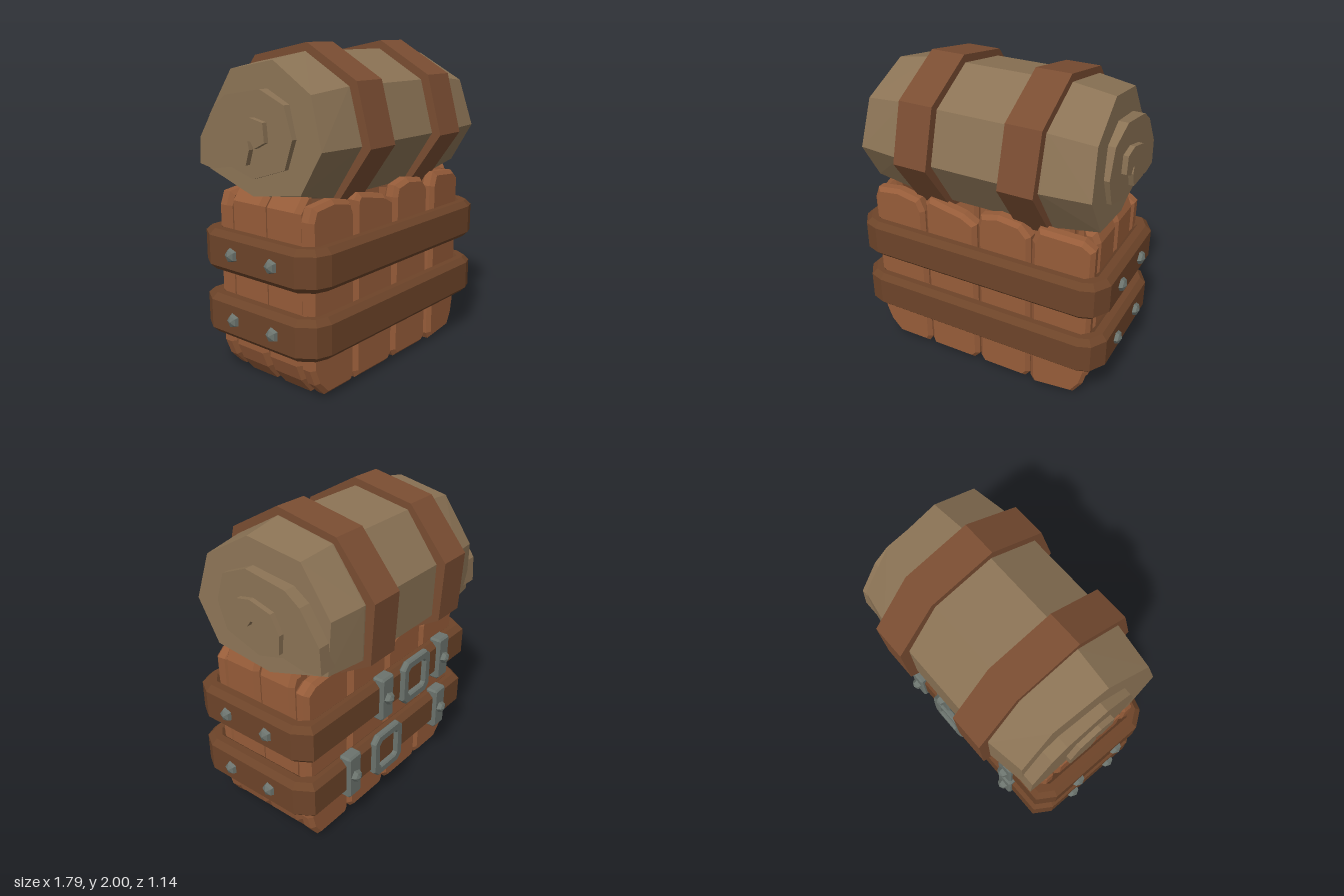
import * as THREE from 'three';
import { ConvexGeometry } from 'three/addons/geometries/ConvexGeometry.js';

const material = (name, color) => Object.assign(new THREE.MeshStandardMaterial({ color }), { name });

export function createModel() {
  const model = new THREE.Group();
  model.name = 'backpackWithBedroll';
  const plankWood = material('plankWood', 0x965c39);
  const beltLeather = material('beltLeather', 0x6d4429);
  const strapLeather = material('strapLeather', 0x7a4d32);
  const blanket = material('blanket', 0x8b7355);
  const metal = material('metal', 0x6b736d);

  const add = (name, geometry, mat, parent = model) => {
    const mesh = new THREE.Mesh(geometry, mat);
    mesh.name = name;
    parent.add(mesh);
    return mesh;
  };

  // Chamfered slab from an outline, running from z = 0 to z = depth
  const slab = (points, depth, bevel = 0, hole = null) => {
    const shape = new THREE.Shape(points.map(([x, y]) => new THREE.Vector2(x, y)));
    if (hole) shape.holes.push(new THREE.Path(hole.map(([x, y]) => new THREE.Vector2(x, y))));
    const geometry = new THREE.ExtrudeGeometry(shape, {
      depth: depth - 2 * bevel, bevelEnabled: bevel > 0, bevelSize: bevel,
      bevelThickness: bevel, bevelOffset: -bevel, bevelSegments: 1,
    });
    return geometry.translate(0, 0, bevel);
  };

  // Rectangle with cut corners
  const cutRect = (x0, x1, y0, y1, c) => [
    [x0 + c, y0], [x1 - c, y0], [x1, y0 + c], [x1, y1 - c],
    [x1 - c, y1], [x0 + c, y1], [x0, y1 - c], [x0, y0 + c],
  ];

  // Front and back planks
  const planks = [
    [[-0.76, 0.2], [-0.72, 0.1], [-0.64, 0.015], [-0.41, 0.015], [-0.385, 0.06],
      [-0.385, 1.05], [-0.42, 1.13], [-0.57, 1.16], [-0.73, 1.14], [-0.76, 1.06]],
    [[-0.38, 0.06], [-0.36, 0.015], [-0.05, 0.015], [-0.01, 0.06],
      [-0.01, 1.06], [-0.1, 1.11], [-0.34, 1.16], [-0.375, 1.12]],
    [[0, 0.06], [0.03, 0.015], [0.33, 0.015], [0.365, 0.06],
      [0.355, 1.08], [0.29, 1.15], [0.14, 1.17], [0.02, 1.14], [0, 1.07]],
    [[0.375, 0.06], [0.4, 0.015], [0.66, 0.015], [0.72, 0.1], [0.745, 0.2],
      [0.75, 1.09], [0.68, 1.14], [0.41, 1.17], [0.37, 1.08]],
  ];
  planks.forEach((outline, i) => {
    const front = slab(outline, 0.1, 0.025);
    // the last front plank sits slightly turned
    if (i === 3) front.translate(-0.56, 0, -0.05).rotateY(0.12).translate(0.56, 0, 0.05);
    add('frontPlank', front.translate(0, 0, 0.31), plankWood);
    add('backPlank', slab(outline, 0.1, 0.025).translate(0, 0, -0.34), plankWood);
  });

  // U-shaped staves forming the sides and bottom
  const stave = [
    [-0.76, 1.1], [-0.76, 0.2], [-0.72, 0.1], [-0.64, 0], [0.64, 0], [0.72, 0.1], [0.75, 0.2], [0.75, 1.1],
    [0.72, 1.17], [0.64, 1.17], [0.64, 0.22], [0.58, 0.11], [-0.58, 0.11], [-0.64, 0.22], [-0.62, 1.19], [-0.68, 1.2],
  ];
  for (const z of [0.045, -0.23]) add('sideStave', slab(stave, 0.265, 0.028).translate(0, 0, z), plankWood);

  // Rivet with its point along +z
  const rivet = (r) => {
    const geometry = new THREE.SphereGeometry(r, 5, 4).rotateX(Math.PI / 2).toNonIndexed();
    geometry.computeVertexNormals();
    return geometry;
  };

  // Belts with side rivets, clamps and buckles
  const beltOutline = [
    [-0.7, -0.5], [0.72, -0.5], [0.8, -0.47], [0.86, -0.37], [0.86, 0.31], [0.79, 0.42],
    [-0.79, 0.42], [-0.86, 0.31], [-0.86, -0.37], [-0.79, -0.47],
  ];
  const beltHole = cutRect(-0.74, 0.74, -0.39, 0.32, 0.04);
  const belts = [
    { y: 0.805, clamps: [0.12, -0.51], buckle: -0.19 },
    { y: 0.405, clamps: [0.44, -0.51], buckle: 0.1 },
  ];
  for (const { y, clamps, buckle } of belts) {
    const belt = new THREE.Group();
    belt.name = 'belt';
    belt.position.y = y;
    model.add(belt);
    add('beltBand', slab(beltOutline, 0.25, 0.035, beltHole).rotateX(-Math.PI / 2).translate(0, -0.125, 0), beltLeather, belt);
    for (const side of [-1, 1]) for (const z of [0.2, -0.12]) {
      add('sideRivet', rivet(0.052).rotateY(side * Math.PI / 2).translate(side * 0.845, 0, z), metal, belt);
    }
    for (const x of clamps) {
      add('clamp', slab(cutRect(-0.06, 0.06, -0.15, 0.15, 0.012), 0.085, 0.012).translate(x, 0, -0.445), metal, belt);
      add('clampRivet', rivet(0.045).rotateY(Math.PI).translate(x, 0, -0.44), metal, belt);
    }
    const frame = slab(cutRect(-0.15, 0.15, -0.155, 0.155, 0.045), 0.045, 0.01, cutRect(-0.088, 0.088, -0.095, 0.095, 0.018));
    add('buckle', frame.translate(buckle, 0, -0.45), metal, belt);
  }

  // Bedroll: eight-sided outlines given as (-z, y)
  const roll = new THREE.Group();
  roll.name = 'bedroll';
  model.add(roll);
  const middle = [[-0.1, 1.95], [-0.42, 1.77], [-0.51, 1.45], [-0.3, 1.13], [0.12, 1.07], [0.5, 1.25], [0.51, 1.59], [0.29, 1.88]];
  const end = [[-0.09, 1.91], [-0.39, 1.74], [-0.48, 1.45], [-0.33, 1.2], [0.06, 1.14], [0.46, 1.25], [0.47, 1.57], [0.27, 1.85]];
  const corners = [];
  for (const side of [-1, 1]) {
    for (const [u, y] of middle) corners.push(new THREE.Vector3(side * 0.46, y, -u));
    for (const [u, y] of end) corners.push(new THREE.Vector3(side * (0.72 - 0.06 * u - 0.05 * (y - 1.53)), y, -u));
  }
  add('rolledBlanket', new ConvexGeometry(corners), blanket, roll);

  // Extrudes a (-z, y) outline along x, centred on x
  const across = (outline, x, width) => slab(outline, width).translate(0, 0, -width / 2).rotateY(Math.PI / 2).translate(x, 0, 0);

  // Spiral coils stepping out at both ends
  const outerCoil = [
    [0.36, 1.27], [0.47, 1.29], [0.46, 1.45], [0.33, 1.64], [0.23, 1.71], [-0.05, 1.755], [-0.23, 1.68],
    [-0.29, 1.5], [-0.23, 1.33], [0.02, 1.25], [0.2, 1.3],
  ];
  const innerCoil = [
    [0.2, 1.33], [0.21, 1.45], [0.15, 1.56], [0, 1.6], [-0.1, 1.58], [-0.11, 1.47],
    [-0.03, 1.43], [0, 1.47], [0.02, 1.47], [0.01, 1.42], [0.04, 1.33],
  ];
  add('outerCoil', across(outerCoil, 0, 1.545), blanket, roll);
  add('innerCoil', across(innerCoil, 0, 1.61), blanket, roll);

  // Straps around the bedroll
  const strap = [[-0.11, 2], [-0.47, 1.8], [-0.57, 1.44], [-0.32, 1.09], [0.18, 1.01], [0.55, 1.23], [0.57, 1.61], [0.31, 1.92]];
  for (const x of [-0.345, 0.34]) add('rollStrap', across(strap, x, 0.222), strapLeather, roll);

  return model;
}
